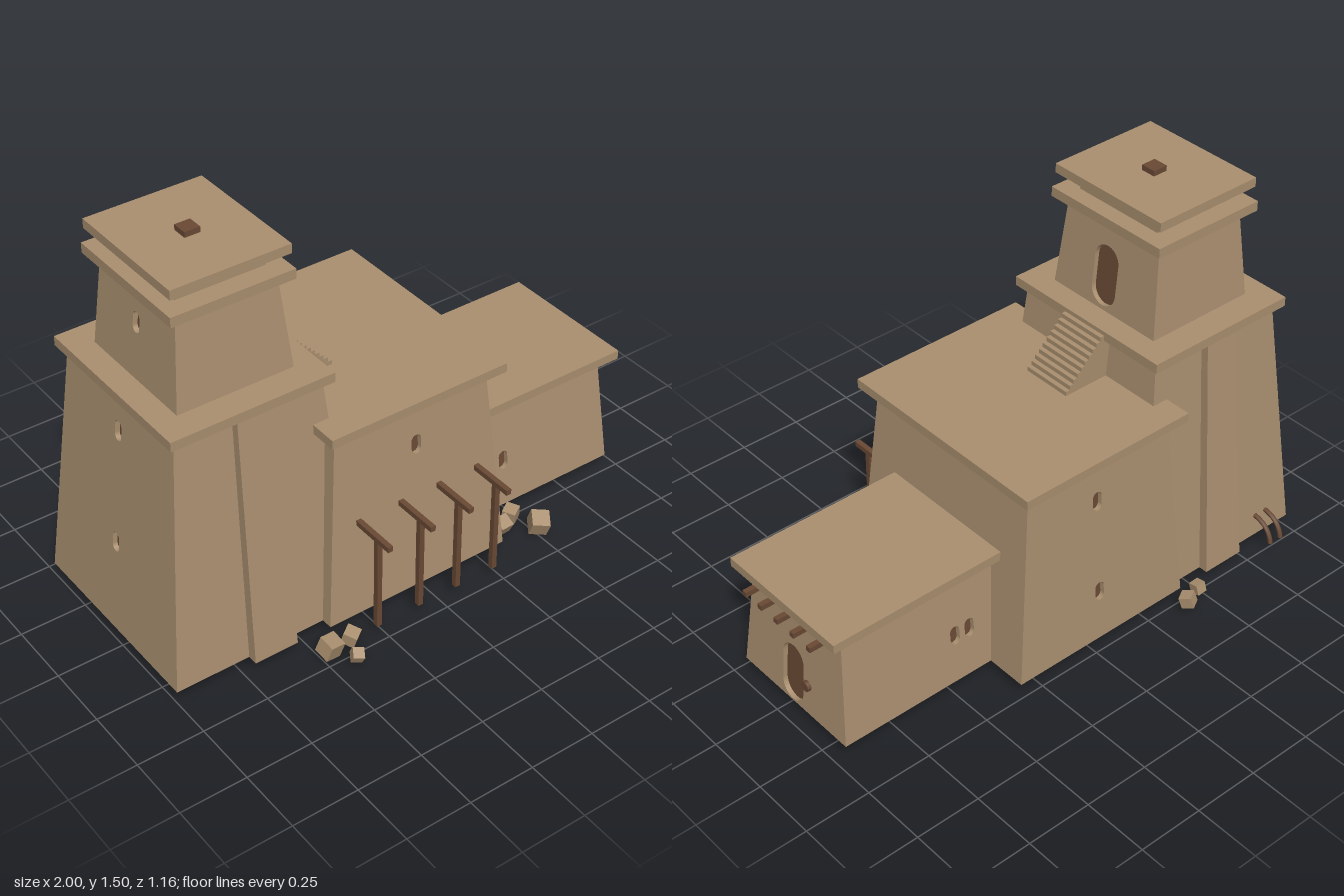
import * as THREE from 'three';

const mat = (name, color) => {
  const m = new THREE.MeshStandardMaterial({ color });
  m.name = name;
  return m;
};

export function createModel() {
  const clay = mat('clay', 0xab9070);
  const wood = mat('dark wood', 0x6a4a35);
  const model = new THREE.Group();
  const V = (x, y, z) => new THREE.Vector3(x, y, z);

  const add = (parent, name, geo, material) => {
    const m = new THREE.Mesh(geo, material);
    m.name = name;
    parent.add(m);
    return m;
  };

  // Box given by its limits on each axis
  const box = (name, material, x0, x1, y0, y1, z0, z1) => {
    const m = add(model, name, new THREE.BoxGeometry(x1 - x0, y1 - y0, z1 - z0), material);
    m.position.set((x0 + x1) / 2, (y0 + y1) / 2, (z0 + z1) / 2);
    return m;
  };

  // Upright slot with round ends
  const slot = (path, u, v, w, h) => {
    const r = w / 2, s = h / 2 - r;
    path.moveTo(u + r, v - s);
    path.lineTo(u + r, v + s);
    path.absarc(u, v + s, r, 0, Math.PI, false);
    path.lineTo(u - r, v - s);
    path.absarc(u, v - s, r, Math.PI, Math.PI * 2, false);
    return path;
  };

  // Tapered block; b and t are [x0, x1, z0, z1] at heights y0 and y1.
  // Openings are { side, at, y, w, h } with "at" measured along x or z.
  const body = (name, b, t, y0, y1, openings = []) => {
    const group = new THREE.Group();
    group.name = name;
    model.add(group);
    const ring = (r, y) => [V(r[0], y, r[3]), V(r[1], y, r[3]), V(r[1], y, r[2]), V(r[0], y, r[2])];
    const low = ring(b, y0), high = ring(t, y1);
    ['front', 'left', 'back', 'right'].forEach((side, i) => {
      const j = (i + 1) % 4;
      const origin = low[i].clone().add(low[j]).multiplyScalar(0.5);
      const u = low[j].clone().sub(low[i]).normalize();
      const v = high[i].clone().sub(low[i]);
      v.addScaledVector(u, -v.dot(u)).normalize();
      const n = u.clone().cross(v);
      const face = new THREE.Group();
      face.name = side + 'Side';
      face.applyMatrix4(new THREE.Matrix4().makeBasis(u, v, n).setPosition(origin));
      group.add(face);
      const flat = p => {
        const d = p.clone().sub(origin);
        return new THREE.Vector2(d.dot(u), d.dot(v));
      };
      const wall = new THREE.Shape([low[i], low[j], high[j], high[i]].map(flat));
      openings.filter(o => o.side === side).forEach(o => {
        const pu = V(o.at, 0, o.at).sub(origin).dot(u), pv = (o.y - y0) / v.y;
        wall.holes.push(slot(new THREE.Path(), pu, pv, o.w, o.h));
        // Recess lining and dark back panel
        const depth = 0.02;
        const lining = slot(new THREE.Shape(), pu, pv, o.w + 0.004, o.h + 0.004);
        lining.holes.push(slot(new THREE.Path(), pu, pv, o.w, o.h));
        add(face, 'openingLining', new THREE.ExtrudeGeometry(lining,
          { depth: depth - 0.001, bevelEnabled: false, curveSegments: 10 }), clay).position.z = -depth;
        add(face, 'openingPanel', new THREE.ShapeGeometry(
          slot(new THREE.Shape(), pu, pv, o.w, o.h), 10), wood).position.z = -depth + 0.001;
      });
      add(face, 'wall', new THREE.ShapeGeometry(wall, 10), clay);
    });
    // Floor and ceiling
    [[b, y0, 1], [t, y1, -1]].forEach(([r, y, s]) => {
      const geo = new THREE.PlaneGeometry(r[1] - r[0], r[3] - r[2]).rotateX(s * Math.PI / 2);
      add(group, s > 0 ? 'underside' : 'topFace', geo, clay)
        .position.set((r[0] + r[1]) / 2, y, (r[2] + r[3]) / 2);
    });
  };

  const win = (side, at, y) => ({ side, at, y, w: 0.04, h: 0.076 });
  const door = (y, h) => ({ side: 'left', at: -0.04, y, w: 0.114, h });
  const base = 0.055;

  // Tall tower with a buttress front and back
  body('tower', [-1, -0.264, -0.453, 0.345], [-0.911, -0.353, -0.37, 0.27], base, 0.99,
    [win('right', -0.05, 0.41), win('right', -0.05, 0.85)]);
  body('buttresses', [-0.717, -0.547, -0.488, 0.384], [-0.697, -0.567, -0.4, 0.3], base, 0.99);
  box('towerSlab', clay, -0.94, -0.325, 0.99, 1.026, -0.402, 0.302);

  // Upper tower room and stacked roof
  body('upperRoom', [-0.85, -0.412, -0.296, 0.197], [-0.818, -0.444, -0.27, 0.167], 1.026, 1.363,
    [win('right', -0.05, 1.23), door(1.155, 0.23)]);
  box('upperSlab', clay, -0.86, -0.403, 1.363, 1.4, -0.311, 0.21);
  box('roofNeck', clay, -0.797, -0.466, 1.4, 1.455, -0.235, 0.137);
  box('roofSlab', clay, -0.852, -0.412, 1.455, 1.49, -0.302, 0.202);
  box('roofHatch', wood, -0.658, -0.6, 1.49, 1.51, -0.076, -0.018);

  // Main hall
  body('mainHall', [-0.416, 0.336, -0.488, 0.388], [-0.356, 0.268, -0.436, 0.336], base, 0.805,
    [win('front', -0.03, 0.633), win('back', -0.03, 0.633), win('back', -0.03, 0.255)]);
  box('mainSlab', clay, -0.4, 0.316, 0.805, 0.84, -0.488, 0.388);

  // Low wing
  body('lowWing', [0.1, 0.96, -0.33, 0.228], [0.1, 0.926, -0.288, 0.183], base, 0.485,
    [win('front', 0.415, 0.242), win('front', 0.477, 0.242),
      win('back', 0.415, 0.242), win('back', 0.477, 0.242), door(0.175, 0.232)]);
  box('lowSlab', clay, 0.2, 0.985, 0.485, 0.52, -0.332, 0.228);

  // Door control beside the wing door
  const knob = add(model, 'doorKnob', new THREE.CylinderGeometry(0.019, 0.019, 0.03, 12).rotateZ(Math.PI / 2), wood);
  knob.position.set(0.949, 0.175, -0.122);
  box('knobArm', wood, 0.935, 0.957, 0.163, 0.185, -0.122, -0.1);

  // Stairs from the hall roof to the tower terrace
  const steps = 10, x0 = -0.325, x1 = -0.155, top = 1.01, foot = 0.84;
  const stair = new THREE.Shape();
  stair.moveTo(-0.36, foot - 0.01);
  stair.lineTo(x1, foot - 0.01);
  for (let i = 0; i < steps; i++) {
    const x = x1 + (x0 - x1) * i / steps, y = foot + (top - foot) * (i + 1) / steps;
    stair.lineTo(x, y);
    stair.lineTo(x + (x0 - x1) / steps, y);
  }
  stair.lineTo(-0.36, top);
  add(model, 'stairs', new THREE.ExtrudeGeometry(stair, { depth: 0.195, bevelEnabled: false }), clay)
    .position.z = -0.149;

  // Awning posts and beams
  for (const x of [-0.278, -0.102, 0.059, 0.221]) {
    box('awningPost', wood, x - 0.01, x + 0.01, base, 0.425, 0.46, 0.48);
    box('awningBeam', wood, x - 0.01, x + 0.01, 0.421, 0.441, 0.34, 0.538);
  }

  // Roof beam ends on the wing
  for (const z of [0.138, 0.053, -0.035, -0.122, -0.211]) {
    box('beamEnd', wood, 0.9, 1, 0.42, 0.44, z - 0.01, z + 0.01);
  }

  // Curved pipes behind the tower
  for (const x of [-0.886, -0.834]) {
    const curve = new THREE.QuadraticBezierCurve3(V(x, 0.138, -0.43), V(x, 0.138, -0.515), V(x, 0.06, -0.53));
    add(model, 'pipe', new THREE.TubeGeometry(curve, 10, 0.009, 8), wood);
    const cap = add(model, 'pipeEnd', new THREE.CircleGeometry(0.009, 8).rotateX(Math.PI / 2), wood);
    cap.position.set(x, 0.06, -0.53);
  }

  // Loose stone blocks: x, y, z, size
  [
    [-0.47, 0.053, 0.462, 0.062], [-0.385, 0.055, 0.463, 0.05], [-0.42, 0.052, 0.547, 0.04],
    [0.395, 0.052, 0.312, 0.052], [0.462, 0.052, 0.28, 0.05], [0.51, 0.053, 0.38, 0.066],
    [-0.472, 0.05, -0.52, 0.04], [-0.396, 0.053, -0.547, 0.046],
  ].forEach(([x, y, z, s], i) => {
    const rock = add(model, 'stoneBlock', new THREE.BoxGeometry(s, s, s), clay);
    rock.position.set(x, y, z);
    rock.rotation.set(0.25 + 0.1 * (i % 3), 0.5 * i + 0.1, 0.15 * ((i % 4) - 1.5));
  });

  return model;
}
